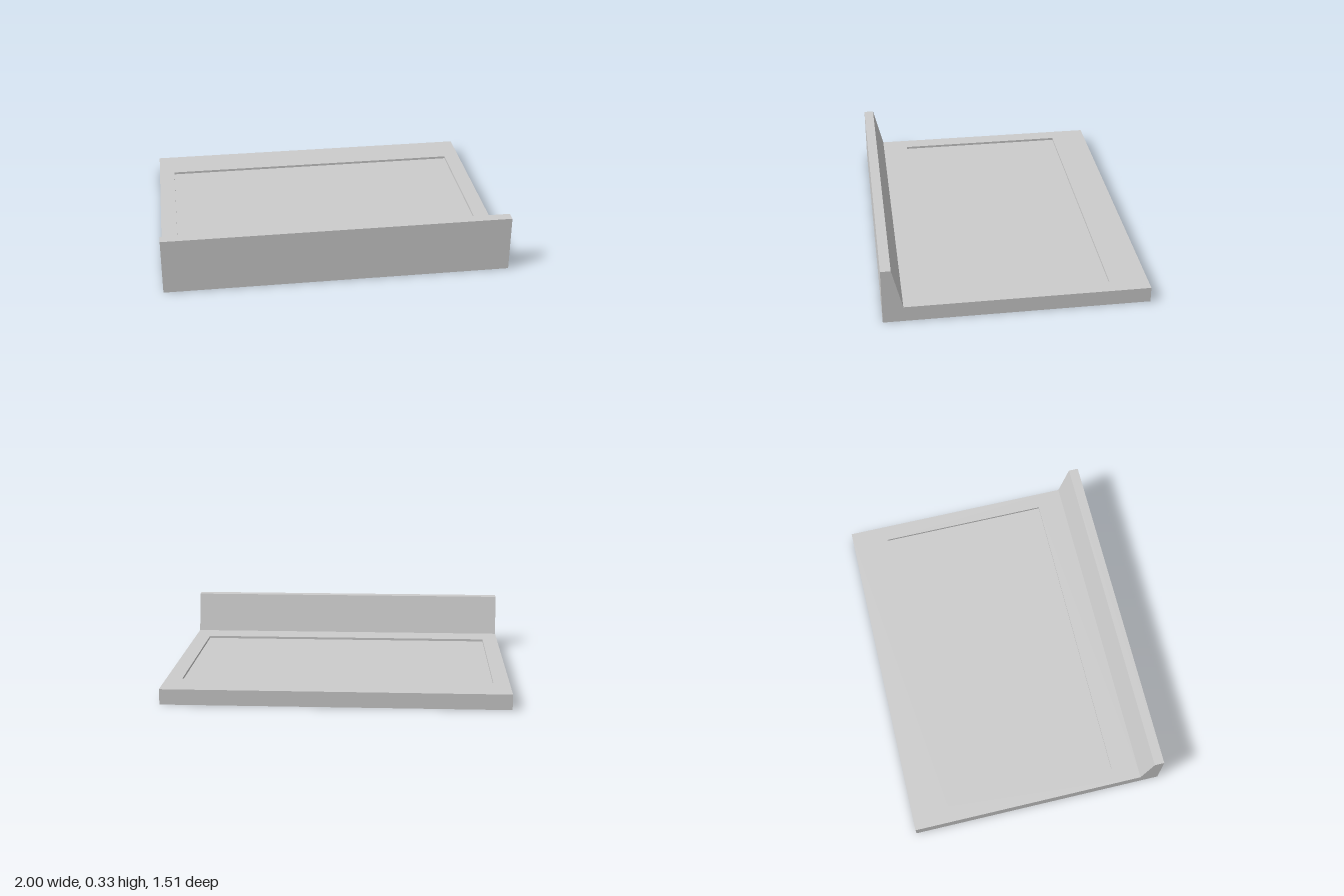
import * as THREE from 'three';

const WIDTH = 2, BACK = -0.755, FRONT = 0.755;
const TOP = 0.091, RECESS = 0.014;   // tray height and depth of the sunken panel
const LIP_FOOT = 0.638, LIP_TOP_Z = 0.697, LIP_HEIGHT = 0.332;

export function createModel() {
  const group = new THREE.Group();
  const material = new THREE.MeshStandardMaterial({ color: 0xcccccc, flatShading: true });
  const add = (name, geometry) => {
    const mesh = new THREE.Mesh(geometry, material);
    mesh.name = name;
    group.add(mesh);
    return mesh;
  };
  // Rectangle in plan; shape y stands for -z
  const rectangle = (halfX, zBack, zFront) => [
    [-halfX, -zFront], [halfX, -zFront], [halfX, -zBack], [-halfX, -zBack],
  ].map(([x, y]) => new THREE.Vector2(x, y));

  // Base slab, whose top is the floor of the recess
  const floorY = TOP - RECESS;
  const base = add('baseSlab', new THREE.BoxGeometry(WIDTH, floorY, LIP_FOOT - BACK));
  base.position.set(0, floorY / 2, (LIP_FOOT + BACK) / 2);

  // Thin frame around the sunken panel
  const frame = new THREE.Shape(rectangle(WIDTH / 2, BACK, LIP_FOOT));
  frame.holes.push(new THREE.Path(rectangle(0.906, -0.535, 0.481)));
  const rim = add('recessFrame',
    new THREE.ExtrudeGeometry(frame, { depth: RECESS, bevelEnabled: false }).rotateX(-Math.PI / 2));
  rim.position.y = floorY;

  // Front lip: upright outside, sloping inside, extruded across the width
  const profile = new THREE.Shape([
    [-FRONT, 0], [-LIP_FOOT, 0], [-LIP_FOOT, TOP], [-LIP_TOP_Z, LIP_HEIGHT], [-FRONT, LIP_HEIGHT],
  ].map(([x, y]) => new THREE.Vector2(x, y)));
  const lip = new THREE.ExtrudeGeometry(profile, { depth: WIDTH, bevelEnabled: false });
  lip.translate(0, 0, -WIDTH / 2).rotateY(Math.PI / 2);
  add('frontLip', lip);

  return group;
}
